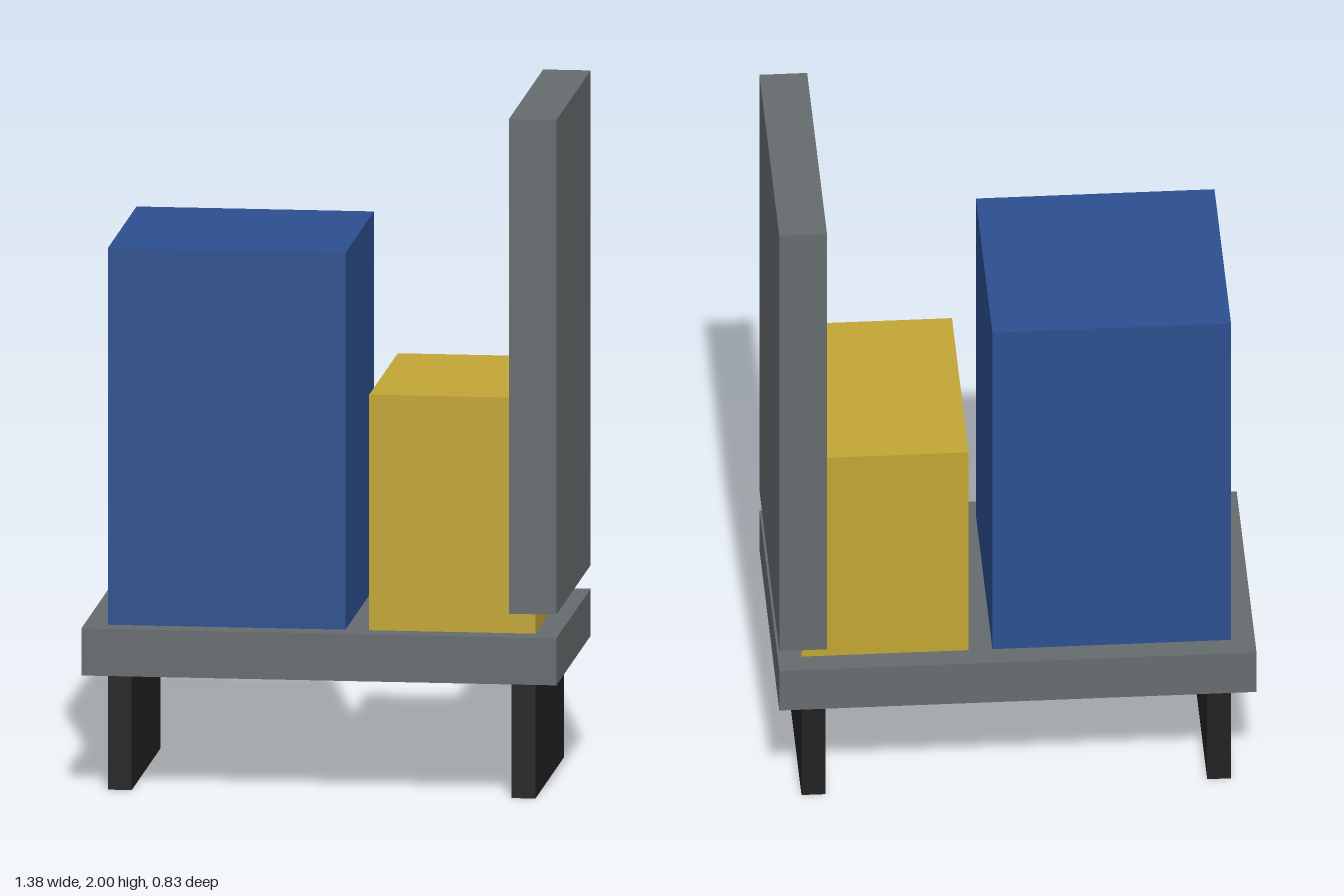
import * as THREE from 'three';

// All sizes are whole multiples of one module
const U = 2 / 29;

const material = (name, color) => {
  const m = new THREE.MeshStandardMaterial({ color });
  m.name = name;
  return m;
};

export function createModel() {
  const group = new THREE.Group();
  group.name = 'loadedCart';

  const grey = material('grey', 0x666c6e);
  const blue = material('blue', 0x2c4f8f);
  const yellow = material('yellow', 0xc2a634);
  const black = material('black', 0x222222);

  // Box given by its x and y ranges and its depth, in modules
  const addBox = (name, mat, x0, x1, y0, y1, depth) => {
    const geometry = new THREE.BoxGeometry((x1 - x0) * U, (y1 - y0) * U, depth * U);
    const mesh = new THREE.Mesh(geometry, mat);
    mesh.name = name;
    mesh.position.set(((x0 + x1) / 2) * U, ((y0 + y1) / 2) * U, 0);
    group.add(mesh);
  };

  // Supports under each end
  addBox('rightSupport', black, -9, -8, 0, 5, 10);
  addBox('leftSupport', black, 8, 9, 0, 5, 10);

  // Platform
  addBox('platform', grey, -10, 10, 5, 7, 12);

  // Tall and short blocks standing on the platform
  addBox('tallBlock', blue, -9, 1, 7, 23, 10);
  addBox('shortBlock', yellow, 2, 9, 7, 17, 10);

  // Upright end panel, held just above the platform
  addBox('endPanel', grey, 8, 10, 8, 29, 12);

  return group;
}
